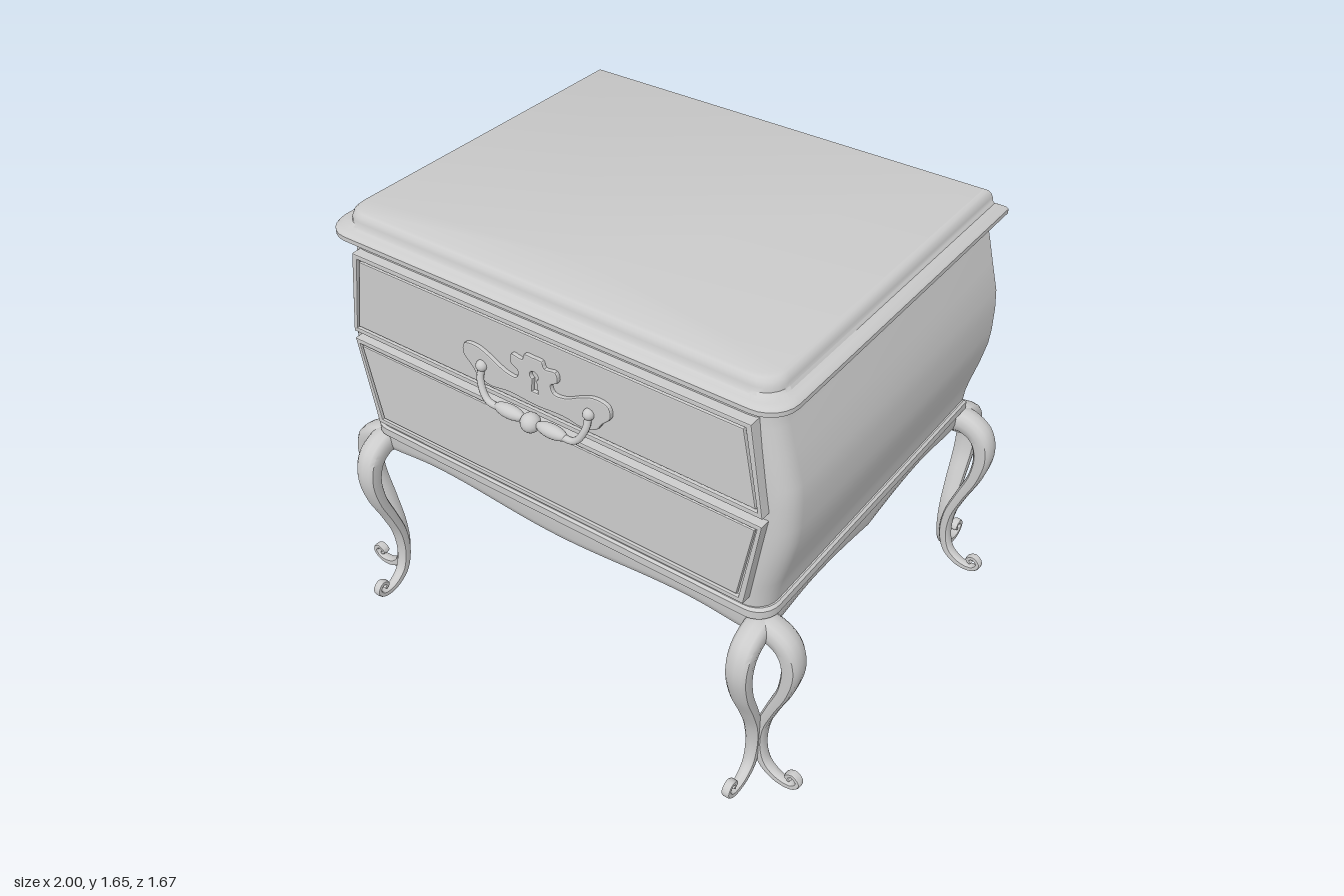
import * as THREE from 'three';
import { toCreasedNormals } from 'three/addons/utils/BufferGeometryUtils.js';

const material = new THREE.MeshStandardMaterial({ color: 0xcccccc });
const CX = -0.01; // the case sits slightly off centre

function add(parent, name, geometry, x = 0, y = 0, z = 0) {
  const mesh = new THREE.Mesh(geometry, material);
  mesh.name = name;
  mesh.position.set(x, y, z);
  parent.add(mesh);
  return mesh;
}

// Skin closed rings of [x, y, z] points and cap both ends
function skin(rings, crease = 0.6) {
  const n = rings[0].length, m = rings.length;
  const points = rings.flat();
  const index = [];
  for (let j = 0; j < m - 1; j++) {
    for (let i = 0; i < n; i++) {
      const k = (i + 1) % n;
      const a = j * n + i, b = j * n + k;
      index.push(a, b, b + n, a, b + n, a + n);
    }
  }
  for (const j of [0, m - 1]) {
    const centre = [0, 1, 2].map(c => rings[j].reduce((s, p) => s + p[c], 0) / n);
    const o = points.push(centre) - 1;
    for (let i = 0; i < n; i++) {
      const a = j * n + i, b = j * n + (i + 1) % n;
      index.push(o, ...(j === 0 ? [b, a] : [a, b]));
    }
  }
  const g = new THREE.BufferGeometry();
  g.setAttribute('position', new THREE.Float32BufferAttribute(points.flat(), 3));
  g.setIndex(index);
  return toCreasedNormals(g, crease);
}

// Horizontal ring: square back corners, rounded front corners
function ring(w, zf, zb, r, height, steps = 1) {
  const corners = [[-w, zb]];
  for (let i = 0; i <= 6; i++) {
    const a = i / 6 * Math.PI / 2;
    corners.push([-w + r - r * Math.cos(a), zf - r + r * Math.sin(a)]);
  }
  for (let i = 6; i >= 0; i--) {
    const a = i / 6 * Math.PI / 2;
    corners.push([w - r + r * Math.cos(a), zf - r + r * Math.sin(a)]);
  }
  corners.push([w, zb]);
  const out = [];
  corners.forEach((p, i) => {
    const q = corners[(i + 1) % corners.length];
    const n = Math.hypot(q[0] - p[0], q[1] - p[1]) > 0.3 ? steps : 1;
    for (let s = 0; s < n; s++) {
      const x = p[0] + (q[0] - p[0]) * s / n, z = p[1] + (q[1] - p[1]) * s / n;
      out.push([x, typeof height === 'function' ? height(x, z, w, zf, zb) : height, z]);
    }
  });
  return out;
}

// Scalloped lower edge of the apron
function wave(x, z, w, zf, zb) {
  const mid = (zf + zb) / 2;
  const tx = Math.abs(x) / w, tz = Math.abs(z - mid) / ((zf - zb) / 2);
  if (tx > tz) {
    return tz < 0.55 ? 0.64 + 0.035 * Math.sin(Math.PI / 2 * tz / 0.55)
      : 0.6625 + 0.0125 * Math.cos(Math.PI * (tz - 0.55) / 0.45);
  }
  return tx < 0.65 ? 0.655 - 0.015 * Math.cos(Math.PI * tx / 0.65)
    : 0.66 + 0.01 * Math.cos(Math.PI * (tx - 0.65) / 0.35);
}

// One scrolled strap of a leg, reaching out along +x
function legStrap() {
  // [outward, y, thickness, width]
  const path = [
    [-0.03, 0.69, 0.08, 0.09], [0.03, 0.70, 0.085, 0.09], [0.095, 0.665, 0.08, 0.09],
    [0.122, 0.59, 0.068, 0.085], [0.108, 0.48, 0.053, 0.078], [0.062, 0.36, 0.045, 0.07],
    [0.025, 0.25, 0.042, 0.06], [0.018, 0.14, 0.04, 0.05], [0.043, 0.062, 0.036, 0.044],
    [0.10, 0.022, 0.03, 0.038], [0.155, 0.023, 0.024, 0.034], [0.175, 0.052, 0.021, 0.032],
    [0.153, 0.075, 0.02, 0.03], [0.13, 0.06, 0.018, 0.03], [0.143, 0.045, 0.016, 0.028]];
  const curve = new THREE.CatmullRomCurve3(path.map(p => new THREE.Vector3(p[0], p[1], 0)));
  const rings = [], steps = 70, sides = 12;
  const round = v => Math.sign(v) * Math.abs(v) ** 0.65;
  for (let j = 0; j <= steps; j++) {
    const t = j / steps, f = t * (path.length - 1);
    const i = Math.min(Math.floor(f), path.length - 2);
    const [th, w] = [2, 3].map(k => THREE.MathUtils.lerp(path[i][k], path[i + 1][k], f - i) / 2);
    const p = curve.getPoint(t), d = curve.getTangent(t);
    rings.push(Array.from({ length: sides }, (_, s) => {
      const a = s / sides * Math.PI * 2;
      const u = round(Math.cos(a)) * th, v = round(Math.sin(a)) * w;
      return [p.x - d.y * u, p.y + d.x * u, v];
    }));
  }
  return skin(rings, 0.7);
}

// Trapezoid drawer outline, inset by d
function trapezoid(yTop, wTop, yBottom, wBottom, d) {
  return [[-wBottom + d, yBottom + d], [wBottom - d, yBottom + d], [wTop - d, yTop - d], [-wTop + d, yTop - d]]
    .map(p => new THREE.Vector2(...p));
}

function extrude(shape, depth, bevel = 0) {
  return new THREE.ExtrudeGeometry(shape, {
    depth: depth - bevel, bevelEnabled: bevel > 0, bevelThickness: bevel, bevelSize: bevel,
    bevelOffset: -bevel, bevelSegments: 2, curveSegments: 16
  });
}

function drawer(name, ...dims) {
  const g = new THREE.Group();
  g.name = name;
  const outline = d => trapezoid(...dims, d);
  const frame = new THREE.Shape(outline(0));
  frame.holes.push(new THREE.Path(outline(0.018)));
  add(g, 'drawerBack', extrude(new THREE.Shape(outline(0)), 0.035), 0, 0, 0.667);
  add(g, 'drawerFrame', extrude(frame, 0.014, 0.004), 0, 0, 0.702);
  add(g, 'drawerPanel', extrude(new THREE.Shape(outline(0.026)), 0.012, 0.004), 0, 0, 0.702);
  return g;
}

function drawerPull() {
  const g = new THREE.Group();
  g.name = 'drawerPull';
  // Winged back plate with a keyhole
  const half = [[0.035, 1.425], [0.045, 1.403], [0.088, 1.406], [0.094, 1.37], [0.066, 1.35],
    [0.075, 1.322], [0.12, 1.325], [0.18, 1.355], [0.235, 1.375], [0.287, 1.366],
    [0.295, 1.325], [0.262, 1.288], [0.24, 1.258], [0.19, 1.24], [0.11, 1.25]];
  const outline = [...half, [0, 1.244], ...half.map(([x, y]) => [-x, y]).reverse(), [0, 1.427]];
  const curve = new THREE.CatmullRomCurve3(outline.map(p => new THREE.Vector3(...p, 0)), true);
  const plate = new THREE.Shape(curve.getPoints(130).map(p => new THREE.Vector2(p.x, p.y)));
  const keyhole = new THREE.Path();
  keyhole.absarc(0, 1.357, 0.016, -Math.PI / 2 + 0.5, Math.PI * 1.5 - 0.5, false);
  keyhole.lineTo(-0.012, 1.295);
  keyhole.lineTo(0.012, 1.295);
  plate.holes.push(keyhole);
  add(g, 'backPlate', extrude(plate, 0.016, 0.005), 0, 0, 0.712);

  // Hanging bail with swollen grip
  const right = [[0.215, 1.31, 0.73], [0.212, 1.26, 0.745], [0.175, 1.205, 0.757], [0.09, 1.203, 0.757]];
  const pts = [...right, [0, 1.197, 0.757], ...right.map(([x, y, z]) => [-x, y, z]).reverse()];
  const bail = new THREE.CatmullRomCurve3(pts.map(p => new THREE.Vector3(...p)));
  add(g, 'bail', new THREE.TubeGeometry(bail, 60, 0.012, 10));
  add(g, 'gripBead', new THREE.SphereGeometry(0.034, 20, 14), 0, 1.197, 0.757);
  for (const s of [-1, 1]) {
    add(g, 'gripSwell', new THREE.SphereGeometry(0.024, 16, 12), s * 0.085, 1.202, 0.757).scale.x = 2.6;
    add(g, 'bailPost', new THREE.SphereGeometry(0.02, 14, 10), s * 0.215, 1.31, 0.73);
  }
  return g;
}

export function createModel() {
  const model = new THREE.Group();
  model.name = 'nightstand';

  // Bombe case: [y, half width]
  const sides = [[0.77, 0.83], [0.83, 0.836], [0.88, 0.848], [0.97, 0.873], [1.06, 0.893], [1.12, 0.898],
    [1.21, 0.898], [1.28, 0.892], [1.39, 0.862], [1.48, 0.838], [1.52, 0.826], [1.565, 0.822]];
  add(model, 'case', skin(sides.map(([y, w]) => ring(w, 0.68, -0.66, 0.08, y))), CX);

  // Moulded top: [y, inset]
  const moulding = [[1.56, 0.008], [1.566, 0], [1.582, 0], [1.59, 0.007], [1.595, 0.022], [1.6, 0.042],
    [1.608, 0.049], [1.622, 0.051], [1.637, 0.057], [1.646, 0.067], [1.65, 0.08]];
  add(model, 'top', skin(moulding.map(([y, d]) =>
    ring(0.88 - d, 0.728 - d * 0.9, -0.685 + d * 0.5, 0.1 - d * 0.4, y))), CX);

  // Plinth moulding and hollow scalloped apron
  const plinth = [[0.74, 0.006], [0.746, 0], [0.776, 0], [0.784, 0.008]];
  add(model, 'plinth', skin(plinth.map(([y, d]) => ring(0.845 - d, 0.69 - d, -0.665 + d, 0.08, y))), CX);
  const lip = [[0.1, null], [0.088, 0.012], [0.07, 0.002], [0.045, 0], [0.022, 0.006],
    [0.006, 0.022], [0, 0.045]];
  const apron = lip.map(([d, rise]) => ring(0.835 - d, 0.68 - d, -0.655 + d, 0.08 - d * 0.4,
    rise === null ? 0.7 : (...a) => wave(...a) + rise, 32));
  apron.push(ring(0.835, 0.68, -0.655, 0.08, 0.745, 32));
  add(model, 'apron', skin(apron, 0.9), CX);

  // Drawers and pull
  model.add(drawer('upperDrawer', 1.518, 0.775, 1.195, 0.825));
  model.add(drawer('lowerDrawer', 1.165, 0.825, 0.825, 0.77));
  model.children.slice(-2).forEach(d => { d.position.x = -0.005; });
  const pull = drawerPull();
  pull.position.x = -0.012;
  model.add(pull);

  // Four legs, each with a sideways and a fore-and-aft strap
  const strap = legStrap();
  const corners = [['frontLeftLeg', 0.795, 0.645], ['frontRightLeg', -0.815, 0.645],
    ['backLeftLeg', 0.815, -0.655], ['backRightLeg', -0.812, -0.615]];
  for (const [name, x, z] of corners) {
    const leg = new THREE.Group();
    leg.name = name;
    leg.position.set(x, 0, z);
    add(leg, 'sideStrap', strap).rotation.y = x > 0 ? 0 : Math.PI;
    add(leg, 'depthStrap', strap).rotation.y = z > 0 ? -Math.PI / 2 : Math.PI / 2;
    model.add(leg);
  }
  return model;
}
